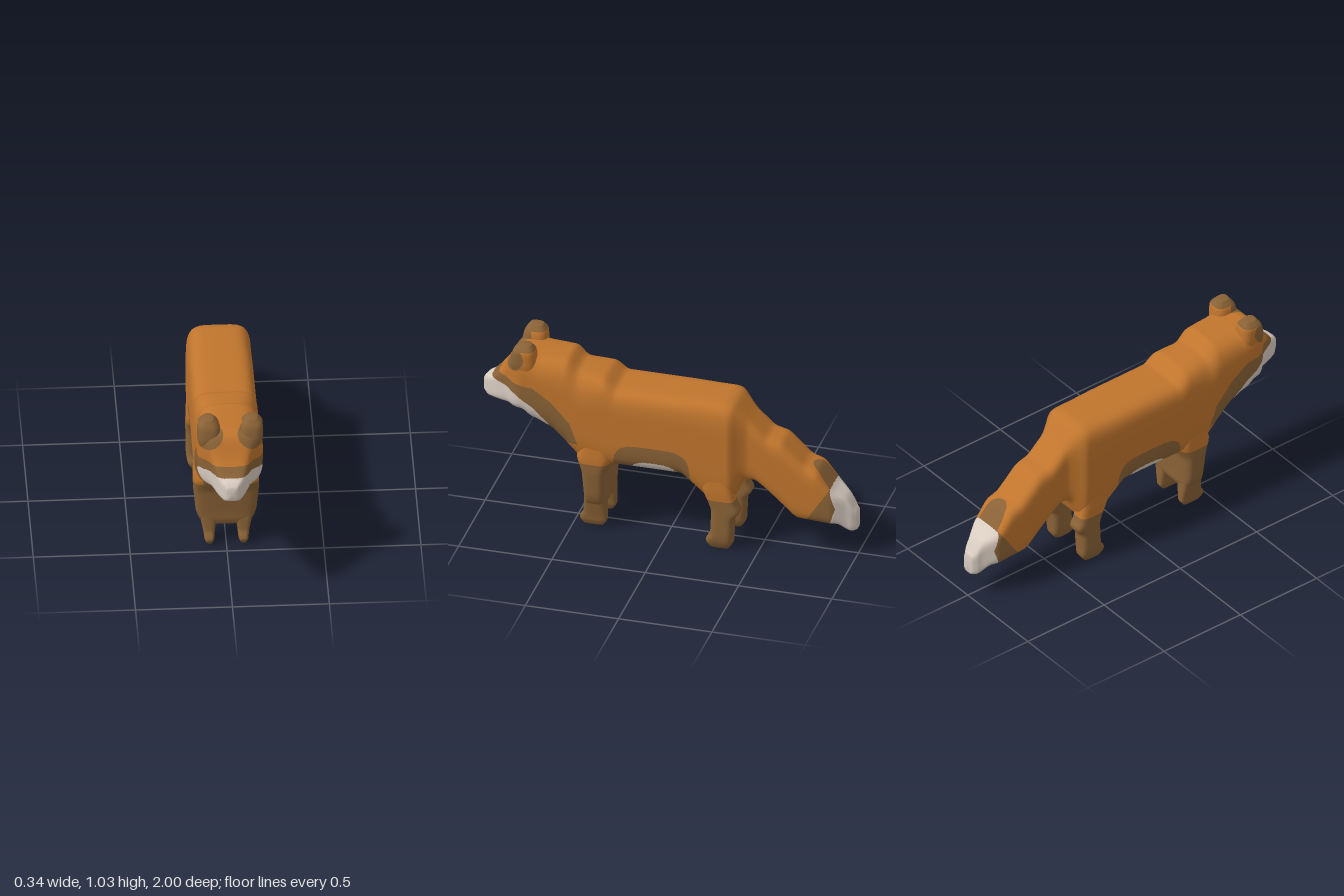
import * as THREE from 'three';

const mat = (name, color) => {
  const m = new THREE.MeshStandardMaterial({ color });
  m.name = name;
  return m;
};

// Linear lookup in a table of rows [t, a, b, ...] sorted by rising t
function lookup(table, t) {
  const n = table.length;
  if (t <= table[0][0]) return table[0].slice(1);
  if (t >= table[n - 1][0]) return table[n - 1].slice(1);
  const i = table.findIndex((r) => r[0] > t);
  const [p, q] = [table[i - 1], table[i]];
  const f = (t - p[0]) / (q[0] - p[0]);
  return p.slice(1).map((v, k) => v + (q[k + 1] - v) * f);
}

// Same lookup averaged over a small window, so the profile bends softly
function soft(table, t) {
  const s = [-1, -0.5, 0, 0.5, 1].map((k) => lookup(table, t + k * 0.013));
  return s[0].map((_, c) => s.reduce((sum, v) => sum + v[c], 0) / s.length);
}

// Coat pattern: 0 orange, 1 brown, 2 white
const chestWidth = [[0.35, 0], [0.44, 0.06], [0.56, 0.1], [0.61, 0.18]];
const whiteEdge = [[0.42, 0.4], [0.5, 0.46], [0.7, 0.685], [0.8, 0.75], [1, 0.785]];
const brownEdge = [[0.46, 0.5], [0.5, 0.62], [0.6, 0.73], [0.7, 0.8], [1, 0.83]];
function coat(x, y, z) {
  const ax = Math.abs(x);
  if (z > 0.41) { // muzzle, throat and chest
    if (y < lookup(whiteEdge, z)[0] && ax < lookup(chestWidth, y)[0]) return 2;
    if (z > 0.46 && y < lookup(brownEdge, z)[0] && (y > 0.5 || ax < 0.12)) return 1;
  }
  if (Math.hypot(ax - 0.117, y - 0.955, z - 0.81) < 0.08) return 1; // ear fronts
  if (y > 1 && z > 0.7) return 1; // ear tips
  if (z < -0.65) { // tail tip
    if (z < -0.87 - 0.03 * Math.max(0, 1 - Math.abs(y - 0.29) / 0.1)) return 2;
    if (z < -0.74 - 0.65 * (y - 0.2)) return 1;
    if (y > 0.36 && Math.hypot(ax / 0.075, (z + 0.87) / 0.11) < 1) return 1;
  }
  if (z > -0.15 && z < 0.28) { // belly
    if (Math.abs((z - 0.055) / 0.125) ** 3 + Math.abs((y - 0.36) / 0.09) ** 3 < 1) return 2;
    if (Math.abs((z - 0.065) / 0.205) ** 4 + Math.abs((y - 0.36) / 0.18) ** 4 < 1) return 1;
  }
  if (z > 0.27 && y < 0.395) return 1; // front stockings
  if (z < -0.1 && z > -0.42 && y < 0.285) return 1; // hind stockings
  return 0;
}

// Skin rings of points into one closed smooth surface, cut into named parts
function skin(rings, materials, parts) {
  const m = rings[0].length;
  const pos = rings.flat(2);
  const tris = [];
  for (let i = 0; i < rings.length - 1; i++) {
    for (let j = 0; j < m; j++) {
      const k = (j + 1) % m;
      const [a, b, c, d] = [i * m + j, i * m + k, (i + 1) * m + k, (i + 1) * m + j];
      tris.push([a, b, c], [a, c, d]);
    }
  }
  const whole = new THREE.BufferGeometry();
  whole.setAttribute('position', new THREE.Float32BufferAttribute(pos, 3));
  whole.setIndex(tris.flat());
  whole.computeVertexNormals();
  const nor = Array.from(whole.getAttribute('normal').array);

  const at = (i) => pos.slice(i * 3, i * 3 + 3);
  const middle = (i, j) => {
    for (const list of [pos, nor]) {
      for (let c = 0; c < 3; c++) list.push((list[i * 3 + c] + list[j * 3 + c]) / 2);
    }
    return pos.length / 3 - 1;
  };
  // Split triangles along colour edges so the edges come out clean
  const sorted = parts.map(() => materials.map(() => []));
  function place(t, depth, part) {
    const [a, b, c] = t;
    const shades = t.map((i) => coat(...at(i)));
    if (depth > 0 && (shades[0] !== shades[1] || shades[0] !== shades[2])) {
      const [ab, bc, ca] = [middle(a, b), middle(b, c), middle(c, a)];
      for (const s of [[a, ab, ca], [ab, b, bc], [ca, bc, c], [ab, bc, ca]]) place(s, depth - 1, part);
    } else {
      const [p, q, r] = t.map(at);
      sorted[part][coat(...p.map((v, k) => (v + q[k] + r[k]) / 3))].push(...t);
    }
  }
  for (const t of tris) {
    const z = t.reduce((sum, i) => sum + pos[i * 3 + 2], 0) / 3;
    place(t, 2, parts.findIndex(([, zMin, zMax]) => z >= zMin && z < zMax));
  }
  const position = new THREE.Float32BufferAttribute(pos, 3);
  const normal = new THREE.Float32BufferAttribute(nor, 3);
  return parts.map(([name], part) => {
    const geo = new THREE.BufferGeometry();
    geo.setAttribute('position', position);
    geo.setAttribute('normal', normal);
    geo.setIndex(sorted[part].flat());
    let start = 0;
    sorted[part].forEach((list, c) => {
      if (list.length) geo.addGroup(start, list.length, c);
      start += list.length;
    });
    const mesh = new THREE.Mesh(geo, materials);
    mesh.name = name;
    return mesh;
  });
}

// Ring of a rounded box section: unit coordinates (a, b) mapped to a point
function ring(count, power, place) {
  return Array.from({ length: count }, (_, j) => {
    const t = (j / count) * Math.PI * 2;
    const [c, s] = [Math.cos(t), Math.sin(t)];
    const r = (Math.abs(c) ** power + Math.abs(s) ** power) ** (-1 / power);
    return place(c * r, s * r);
  });
}

// Rings from t0 to t1, pinched shut (k = 0) at both ends
function sweep(t0, t1, steps, makeRing) {
  return Array.from({ length: steps + 3 }, (_, n) => {
    const f = Math.min(1, Math.max(0, (n - 1) / steps));
    return makeRing(t0 + (t1 - t0) * f, n === 0 || n === steps + 2 ? 0 : 1);
  });
}

// Upright limb from rows [y, zMin, zMax, xMin, xMax], bottom to top
function limb(name, table, side, materials, power) {
  const rings = sweep(table[table.length - 1][0], table[0][0], 40, (y, k) => {
    const [za, zb, xa, xb] = soft(table, y);
    return ring(48, power, (a, b) => [
      (side * (xa + xb)) / 2 + (k * a * (xb - xa)) / 2, y, (za + zb) / 2 + (k * b * (zb - za)) / 2]);
  });
  return skin(rings, materials, [[name, -9, 9]])[0];
}

// Trunk outlines from tail tip to nose: [z, value]
const back = [
  [-1, 0.25], [-0.95, 0.335], [-0.88, 0.385], [-0.8, 0.49], [-0.73, 0.515], [-0.61, 0.63],
  [-0.53, 0.65], [-0.44, 0.735], [-0.36, 0.825], [-0.32, 0.836], [0.27, 0.836], [0.33, 0.885],
  [0.48, 0.905], [0.53, 0.957], [0.79, 0.965], [0.83, 0.95], [0.88, 0.855], [0.95, 0.775],
  [0.985, 0.765], [1, 0.735],
];
const underside = [
  [-1, 0.155], [-0.985, 0.14], [-0.95, 0.15], [-0.91, 0.19], [-0.69, 0.2], [-0.53, 0.345],
  [-0.47, 0.39], [-0.4, 0.38], [-0.36, 0.265], [-0.22, 0.275], [-0.09, 0.39], [0.27, 0.39],
  [0.45, 0.38], [0.6, 0.535], [0.72, 0.6], [0.76, 0.642], [0.985, 0.65], [1, 0.68],
];
const halfWidth = [
  [-1, 0.025], [-0.985, 0.048], [-0.95, 0.058], [-0.88, 0.105], [-0.8, 0.112], [-0.43, 0.112],
  [-0.39, 0.135], [-0.35, 0.168], [0.77, 0.17], [0.81, 0.155], [0.85, 0.11], [0.92, 0.08],
  [0.985, 0.044], [1, 0.02],
];
const boxiness = [[0.3, 5], [0.45, 3.5], [0.68, 3.5], [0.78, 5]];

// Limb outlines: [y, zMin, zMax, xMin, xMax]
const shoulders = [
  [0.125, 0.335, 0.43, -0.11, 0.11], [0.15, 0.32, 0.44, -0.14, 0.14],
  [0.2, 0.32, 0.44, -0.157, 0.157], [0.34, 0.315, 0.45, -0.17, 0.17],
  [0.42, 0.28, 0.48, -0.17, 0.17], [0.6, 0.28, 0.44, -0.155, 0.155],
];
const frontLeg = [
  [0.01, 0.345, 0.44, 0.075, 0.1], [0.03, 0.32, 0.465, 0.063, 0.114],
  [0.055, 0.32, 0.465, 0.06, 0.116], [0.08, 0.32, 0.445, 0.058, 0.12],
  [0.2, 0.325, 0.435, 0.04, 0.145],
];
const hindLeg = [
  [0, -0.34, -0.245, 0.095, 0.145], [0.025, -0.365, -0.22, 0.078, 0.162],
  [0.05, -0.365, -0.22, 0.075, 0.167], [0.075, -0.365, -0.245, 0.072, 0.17],
  [0.18, -0.37, -0.25, 0.07, 0.17], [0.22, -0.408, -0.25, 0.07, 0.17],
  [0.265, -0.38, -0.235, 0.07, 0.17], [0.34, -0.365, -0.2, 0.07, 0.17],
  [0.55, -0.34, -0.2, 0.07, 0.155],
];
const ear = [
  [0.78, 0.7, 0.8, 0.045, 0.15], [0.92, 0.69, 0.83, 0.045, 0.17],
  [0.98, 0.695, 0.82, 0.052, 0.17], [1.005, 0.7, 0.81, 0.062, 0.167],
  [1.03, 0.725, 0.785, 0.09, 0.135],
];

export function createModel() {
  const group = new THREE.Group();
  const fur = [mat('orangeFur', 0xc0752d), mat('brownFur', 0x8a6236), mat('whiteFur', 0xd8cbc0)];

  const trunk = sweep(-1, 1, 240, (z, k) => {
    const [[top], [bottom], [w], [power]] = [back, underside, halfWidth, boxiness].map((t) => soft(t, z));
    return ring(112, power, (a, b) => [
      k * a * w, (top + bottom) / 2 + (k * b * (top - bottom)) / 2, z]);
  });
  group.add(...skin(trunk, fur, [['tail', -9, -0.4], ['torso', -0.4, 0.5], ['head', 0.5, 9]]));

  // Upper front legs are joined; the lower legs and ears come in pairs
  group.add(limb('shoulders', shoulders, 1, fur, 5));
  for (const [label, side] of [['left', 1], ['right', -1]]) {
    group.add(limb(label + 'FrontLeg', frontLeg, side, fur, 4));
    group.add(limb(label + 'HindLeg', hindLeg, side, fur, 4));
    group.add(limb(label + 'Ear', ear, side, fur, 3));
  }
  return group;
}
